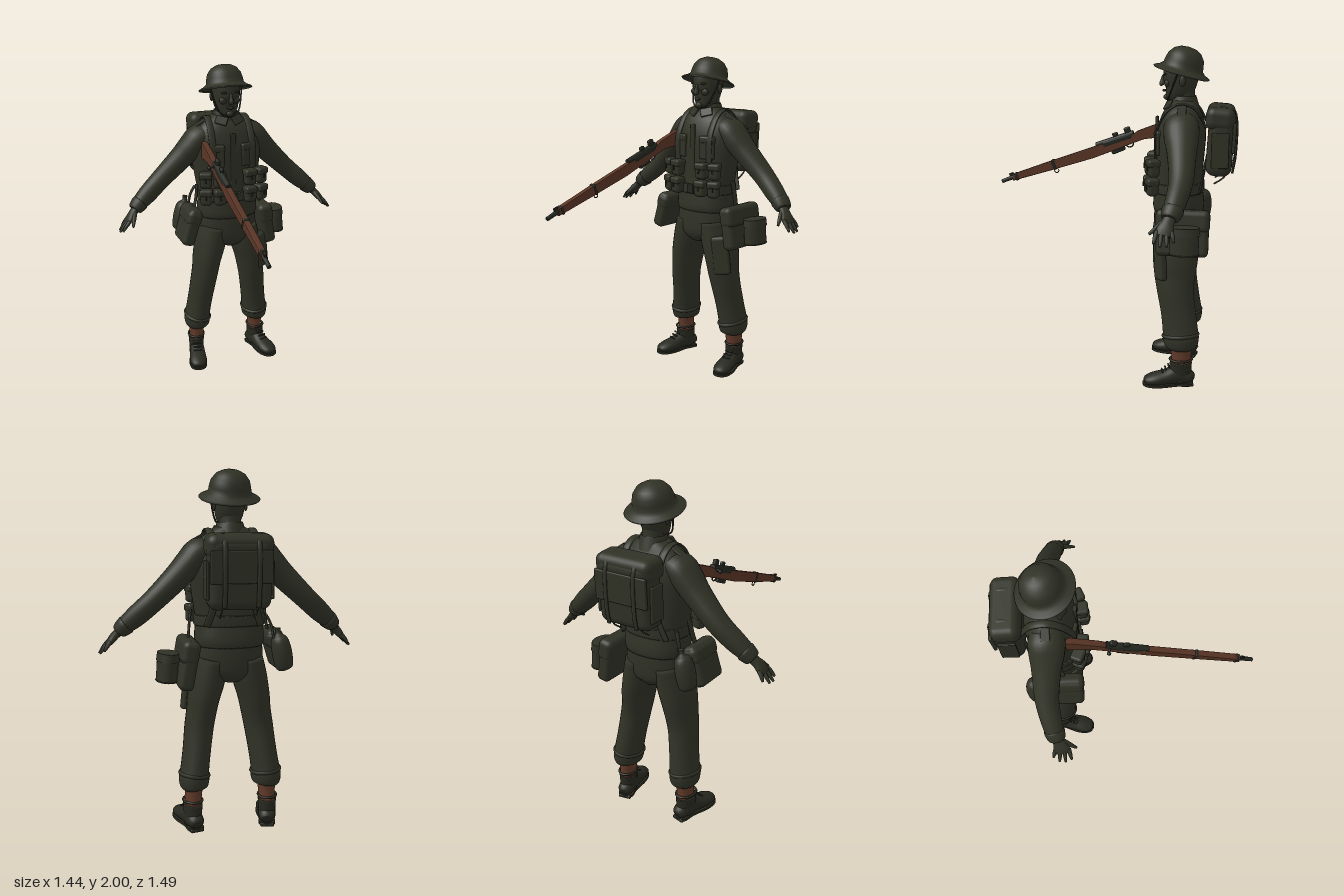
import * as THREE from 'three';
import { RoundedBoxGeometry } from 'three/addons/geometries/RoundedBoxGeometry.js';

const material = (name, color) => {
  const m = new THREE.MeshStandardMaterial({ color, side: THREE.DoubleSide });
  m.name = name;
  return m;
};
const V = (x, y, z) => new THREE.Vector3(x, y, z);
const X = V(1, 0, 0), Y = V(0, 1, 0), Z = V(0, 0, 1);

// Smooth skin over cross-sections [x, y, z, halfWidth, halfDepth]; e < 1 makes them boxier
function loft(sections, { ref = Z, seg = 24, steps = 4, e = 1 } = {}) {
  const rows = [], n = sections.length - 1;
  for (let i = 0; i < n; i++) for (let k = 0; k < steps + (i === n - 1 ? 1 : 0); k++) {
    const t = k / steps;
    const [a, b, c, d] = [i - 1, i, i + 1, i + 2].map((j) => sections[Math.min(n, Math.max(0, j))]);
    rows.push(b.map((_, q) => 0.5 * (2 * b[q] + (c[q] - a[q]) * t + (2 * a[q] - 5 * b[q] + 4 * c[q] - d[q]) * t * t
      + (3 * b[q] - a[q] - 3 * c[q] + d[q]) * t * t * t)));
  }
  const pos = [], index = [], at = (r) => V(r[0], r[1], r[2]), last = rows.length - 1;
  const pw = (c) => Math.sign(c) * Math.abs(c) ** e;
  rows.forEach((r, i) => {
    const t = at(rows[Math.min(last, i + 1)]).sub(at(rows[Math.max(0, i - 1)])).normalize();
    const u = t.clone().cross(ref).normalize(), v = u.clone().cross(t);
    for (let j = 0; j < seg; j++) {
      const w = (j / seg) * Math.PI * 2;
      const p = at(r).addScaledVector(u, r[3] * pw(Math.cos(w))).addScaledVector(v, r[4] * pw(Math.sin(w)));
      pos.push(p.x, p.y, p.z);
      const a = i * seg + j, b = i * seg + (j + 1) % seg;
      if (i < last) index.push(a, a + seg, b, b, a + seg, b + seg);
    }
  });
  const c0 = rows.length * seg;
  pos.push(...rows[0].slice(0, 3), ...rows[last].slice(0, 3));
  for (let j = 0; j < seg; j++) {
    const k = (j + 1) % seg;
    index.push(c0, j, k, c0 + 1, last * seg + k, last * seg + j);
  }
  const g = new THREE.BufferGeometry();
  g.setAttribute('position', new THREE.Float32BufferAttribute(pos, 3));
  g.setIndex(index);
  g.computeVertexNormals();
  return g;
}

export function createModel() {
  const root = new THREE.Group();
  const cloth = material('dark olive cloth', 0x303226);
  const leather = material('boot leather', 0x282920);
  const wood = material('rifle wood', 0x5a3525);
  const metal = material('gun metal', 0x23261f);
  const tan = material('brown gaiter', 0x623b2a);

  const add = (name, geo, mat = cloth, p = [0, 0, 0], r = [0, 0, 0], parent = root) => {
    const m = new THREE.Mesh(geo, mat);
    m.name = name;
    m.position.set(...p);
    m.rotation.set(...r);
    parent.add(m);
    return m;
  };
  const box = (name, size, p, r, mat = cloth, parent = root) =>
    add(name, new RoundedBoxGeometry(...size, 3, Math.min(...size) * 0.35), mat, p, r, parent);
  const rod = (name, a, b, r0, r1, mat, seg = 14) => {
    const A = V(...a), d = V(...b).sub(A);
    const m = add(name, new THREE.CylinderGeometry(r1, r0, d.length(), seg), mat);
    m.position.copy(A).addScaledVector(d, 0.5);
    m.quaternion.setFromUnitVectors(Y, d.clone().normalize());
  };
  const strap = (name, pts, w = 0.02, ref = X, th = 0.007) =>
    add(name, loft(pts.map((p) => [...p, th, w]), { ref, seg: 10 }));
  const tube = (name, pts, r, mat = cloth) =>
    add(name, new THREE.TubeGeometry(new THREE.CatmullRomCurve3(pts.map((p) => V(...p))), 24, r, 6), mat);

  // Jacket, trousers seat and belt
  add('jacket', loft([[0, 1.05, -0.413, 0.187, 0.147], [0, 1.09, -0.413, 0.195, 0.152], [0, 1.2, -0.41, 0.19, 0.14],
    [0, 1.35, -0.415, 0.212, 0.14], [0, 1.5, -0.42, 0.225, 0.143], [0, 1.6, -0.425, 0.2, 0.122],
    [0, 1.66, -0.43, 0.145, 0.088], [0, 1.7, -0.432, 0.072, 0.066]], { seg: 40, e: 0.88 }));
  add('trouserSeat', loft([[0, 0.85, -0.41, 0.06, 0.1], [0, 0.9, -0.41, 0.17, 0.137], [0, 0.98, -0.412, 0.19, 0.145],
    [0, 1.08, -0.413, 0.182, 0.142]], { seg: 36, e: 0.9 }));
  add('belt', loft([[0, 1.165, -0.41, 0.196, 0.149], [0, 1.17, -0.41, 0.2, 0.152], [0, 1.22, -0.41, 0.2, 0.152],
    [0, 1.225, -0.41, 0.196, 0.149]], { seg: 40, e: 0.88, steps: 1 }));
  box('beltBuckle', [0.05, 0.055, 0.012], [0, 1.195, -0.257], [0, 0, 0], metal);
  box('buttonPlacket', [0.034, 0.44, 0.02], [0, 1.38, -0.28], [0.02, 0, 0]);
  add('collar', new THREE.CylinderGeometry(0.07, 0.095, 0.075, 28, 1, true), cloth, [0, 1.685, -0.43]);

  // Neck and head
  add('neck', loft([[0, 1.62, -0.445, 0.066, 0.066], [0, 1.72, -0.43, 0.06, 0.064], [0, 1.8, -0.425, 0.06, 0.066]]));
  add('head', loft([[0, 1.695, -0.352, 0.026, 0.026], [0, 1.708, -0.36, 0.045, 0.045], [0, 1.735, -0.38, 0.066, 0.068],
    [0, 1.78, -0.402, 0.08, 0.093], [0, 1.84, -0.41, 0.087, 0.103], [0, 1.9, -0.418, 0.088, 0.1],
    [0, 1.95, -0.425, 0.06, 0.07]], { seg: 32 }));
  add('nose', loft([[0, 1.778, -0.305, 0.012, 0.008], [0, 1.787, -0.302, 0.017, 0.017], [0, 1.81, -0.306, 0.011, 0.014],
    [0, 1.84, -0.31, 0.008, 0.008]], { seg: 12 }));
  const bump = (name, p, s) => add(name, new THREE.SphereGeometry(1, 14, 10), cloth, p).scale.set(...s);
  bump('lips', [0, 1.75, -0.316], [0.024, 0.008, 0.012]);
  bump('chin', [0, 1.713, -0.328], [0.024, 0.018, 0.017]);

  // Broad-brimmed steel helmet
  const profile = [[0.163, -0.006], [0.168, 0], [0.163, 0.005], [0.135, 0.018], [0.117, 0.034], [0.114, 0.06],
    [0.104, 0.095], [0.08, 0.126], [0.045, 0.144], [0, 0.15]].map((p) => new THREE.Vector2(...p));
  add('helmet', new THREE.LatheGeometry(profile, 48), cloth, [0, 1.853, -0.412], [-0.27, 0, 0]);
  tube('chinStrap', [[-0.1, 1.86, -0.4], [-0.084, 1.78, -0.37], [-0.055, 1.715, -0.345], [0, 1.692, -0.338],
    [0.055, 1.715, -0.345], [0.084, 1.78, -0.37], [0.1, 1.86, -0.4]], 0.005, leather);

  for (const s of [1, -1]) {
    const m = (p) => [s * p[0], ...p.slice(1)];
    const side = s > 0 ? 'left' : 'right';
    bump(side + 'Ear', [s * 0.088, 1.81, -0.425], [0.01, 0.03, 0.018]);
    bump(side + 'Brow', [s * 0.035, 1.845, -0.322], [0.026, 0.007, 0.012]);
    bump(side + 'Cheek', [s * 0.042, 1.795, -0.335], [0.025, 0.022, 0.018]);
    box(side + 'CollarFlap', [0.075, 0.055, 0.014], [s * 0.052, 1.672, -0.342], [-0.55, s * 0.3, s * 0.45]);
    box(side + 'ShoulderTab', [0.1, 0.012, 0.05], [s * 0.155, 1.652, -0.43], [0, 0, -s * 0.5]);
    box(side + 'ChestPocket', [0.1, 0.13, 0.03], [s * 0.105, 1.455, -0.292], [0, s * 0.25, 0]);
    box(side + 'ChestPocketFlap', [0.106, 0.045, 0.04], [s * 0.105, 1.51, -0.293], [0, s * 0.25, 0]);

    // Sleeve, cuff and hand
    add(side + 'Sleeve', loft([[0.1, 1.575, -0.43, 0.06, 0.085], [0.17, 1.565, -0.43, 0.078, 0.1],
      [0.225, 1.505, -0.435, 0.078, 0.098], [0.29, 1.435, -0.443, 0.072, 0.083], [0.42, 1.31, -0.452, 0.062, 0.068],
      [0.52, 1.22, -0.435, 0.058, 0.06], [0.585, 1.165, -0.418, 0.045, 0.052], [0.61, 1.14, -0.41, 0.036, 0.045]].map(m)));
    add(side + 'Cuff', loft([[0.565, 1.18, -0.424, 0.048, 0.055], [0.572, 1.174, -0.422, 0.053, 0.06],
      [0.603, 1.146, -0.412, 0.044, 0.052], [0.609, 1.14, -0.41, 0.036, 0.045]].map(m)));
    add(side + 'Palm', loft([[0.59, 1.155, -0.415, 0.026, 0.034], [0.625, 1.12, -0.4, 0.023, 0.036],
      [0.65, 1.09, -0.39, 0.021, 0.047], [0.672, 1.062, -0.385, 0.013, 0.044]].map(m)));
    [[-0.424, -0.44, 0.69, 1.035], [-0.398, -0.405, 0.712, 1.018], [-0.373, -0.37, 0.716, 1.016],
      [-0.348, -0.335, 0.704, 1.028]].forEach(([z0, z1, x, y], i) =>
      add(`${side}Finger${i + 1}`, loft([[0.655, 1.085, z0, 0.012, 0.012], [(0.66 + x) / 2, (1.085 + y) / 2, (z0 + z1) / 2, 0.011, 0.012],
        [x, y, z1, 0.006, 0.007]].map(m), { seg: 10 })));
    add(side + 'Thumb', loft([[0.615, 1.125, -0.385, 0.016, 0.02], [0.63, 1.095, -0.345, 0.013, 0.015],
      [0.645, 1.062, -0.305, 0.007, 0.008]].map(m), { seg: 10 }));

    // Trouser leg, gathered over the gaiter
    add(side + 'TrouserLeg', loft([[0.207, 0.243, -0.458, 0.058, 0.072], [0.208, 0.255, -0.458, 0.078, 0.096],
      [0.208, 0.3, -0.458, 0.086, 0.107], [0.203, 0.35, -0.453, 0.08, 0.105], [0.188, 0.46, -0.437, 0.079, 0.103],
      [0.172, 0.58, -0.417, 0.082, 0.108], [0.157, 0.67, -0.41, 0.084, 0.12], [0.143, 0.76, -0.41, 0.09, 0.132],
      [0.118, 0.87, -0.41, 0.097, 0.138], [0.1, 0.98, -0.412, 0.088, 0.14]].map(m), { seg: 28 }));
    add(side + 'TrouserFold', new THREE.TorusGeometry(0.079, 0.012, 8, 28), cloth,
      [s * 0.206, 0.322, -0.455], [Math.PI / 2 + 0.1, s * 0.12, 0]).scale.y = 1.25;
    add(side + 'Gaiter', loft([[0.215, 0.12, -0.465, 0.046, 0.06], [0.213, 0.2, -0.463, 0.047, 0.06],
      [0.21, 0.28, -0.46, 0.056, 0.068]].map(m)), tan);

    // Boot with sole and laces
    const boot = new THREE.Group();
    boot.name = side + 'Boot';
    boot.position.set(s * 0.217, 0, -0.462);
    boot.rotation.y = s * 0.22;
    root.add(boot);
    add('ankle', loft([[0, 0.03, 0, 0.045, 0.064], [0, 0.1, 0, 0.05, 0.066], [0, 0.15, 0, 0.053, 0.067]]), leather, undefined, undefined, boot);
    add('foot', loft([[0, 0.045, -0.075, 0.03, 0.025], [0, 0.055, -0.05, 0.047, 0.043], [0, 0.068, 0.02, 0.049, 0.058],
      [0, 0.055, 0.09, 0.054, 0.045], [0, 0.045, 0.16, 0.057, 0.036], [0, 0.038, 0.205, 0.042, 0.024],
      [0, 0.033, 0.22, 0.02, 0.01]], { ref: Y }), leather, undefined, undefined, boot);
    const outline = new THREE.Shape(new THREE.SplineCurve([[0, -0.078], [0.045, -0.055], [0.044, 0.02], [0.06, 0.13], [0.045, 0.205],
      [0, 0.23], [-0.045, 0.205], [-0.06, 0.13], [-0.044, 0.02], [-0.045, -0.055], [0, -0.078]]
      .map((p) => new THREE.Vector2(...p))).getPoints(40));
    add('sole', new THREE.ExtrudeGeometry(outline, { depth: 0.016, bevelEnabled: false }).rotateX(Math.PI / 2), leather, [0, 0.024, 0], undefined, boot);
    box('heel', [0.08, 0.022, 0.075], [0, 0.011, -0.038], [0, 0, 0], leather, boot);
    for (let i = 0; i < 4; i++) box('lace', [0.055, 0.008, 0.01], [0, 0.142 - i * 0.015, 0.055 + i * 0.019], [0.5, 0, 0], leather, boot);
    add('ankleStrap', new THREE.TorusGeometry(0.052, 0.007, 8, 24), leather, [0, 0.17, 0], [Math.PI / 2, 0, 0], boot).scale.y = 1.25;

    // Ammunition pouches in two rows with flaps
    for (const [y, dz] of [[1.322, 0], [1.212, 0.004]]) for (const [x, z, yaw] of [[0.1, -0.25, 0.1], [0.182, -0.275, 0.4]]) {
      const p = new THREE.Group();
      p.name = side + 'AmmoPouch';
      p.position.set(s * x, y, z + dz);
      p.rotation.y = s * yaw;
      root.add(p);
      box('pouchBody', [0.074, 0.096, 0.066], [0, -0.003, 0], [0, 0, 0], cloth, p);
      box('pouchFlap', [0.08, 0.044, 0.074], [0, 0.03, 0.001], [0, 0, 0], cloth, p);
      box('pouchStud', [0.012, 0.03, 0.008], [0, 0.002, 0.036], [0, 0, 0], metal, p);
    }
    strap(side + 'ShoulderStrap', [[0.13, 1.34, -0.285], [0.13, 1.5, -0.28], [0.128, 1.6, -0.315], [0.125, 1.66, -0.365],
      [0.122, 1.685, -0.43], [0.12, 1.65, -0.51], [0.115, 1.55, -0.565]].map(m), 0.022);
    strap(side + 'BackStrap', [[0.1, 1.36, -0.57], [0.12, 1.26, -0.556], [0.15, 1.17, -0.54]].map(m));

    // Pack fastenings
    strap(side + 'PackStrap', [[0.09, 1.665, -0.62], [0.09, 1.655, -0.7], [0.09, 1.58, -0.738], [0.09, 1.4, -0.738],
      [0.09, 1.29, -0.722]].map(m), 0.013);
    tube(side + 'PackStrapEnd', [[0.09, 1.3, -0.7], [0.095, 1.26, -0.67], [0.092, 1.225, -0.62]].map(m), 0.005);
    box(side + 'PackSidePatch', [0.015, 0.2, 0.1], [s * 0.172, 1.43, -0.65], [0, 0, 0]);
  }

  // Backpack
  box('backpack', [0.34, 0.38, 0.15], [0, 1.465, -0.65], [-0.05, 0, 0]);
  box('backpackLid', [0.355, 0.13, 0.165], [0, 1.605, -0.645], [-0.08, 0, 0]);
  box('backpackFlap', [0.33, 0.17, 0.02], [0, 1.5, -0.726], [-0.04, 0, 0]);

  // Left hip: haversack and mess tin
  box('haversack', [0.085, 0.27, 0.3], [0.25, 0.965, -0.455], [0, 0, 0.17]);
  box('haversackFlap', [0.098, 0.13, 0.31], [0.242, 1.035, -0.455], [0, 0, 0.17]);
  strap('haversackStrap', [[0.215, 1.25, -0.41], [0.225, 1.17, -0.42], [0.235, 1.06, -0.43]], 0.02, Z);
  const tin = new THREE.Group();
  tin.name = 'messTin';
  tin.position.set(0.355, 0.945, -0.472);
  tin.rotation.z = 0.07;
  tin.scale.z = 1.42;
  root.add(tin);
  add('tinBody', new THREE.CylinderGeometry(0.059, 0.058, 0.155, 28), cloth, undefined, undefined, tin);
  add('tinLid', new THREE.CylinderGeometry(0.06, 0.063, 0.045, 28), cloth, [0, 0.058, 0], undefined, tin);
  add('tinRim', new THREE.TorusGeometry(0.058, 0.004, 6, 28), cloth, [0, -0.074, 0], [Math.PI / 2, 0, 0], tin);

  // Thigh pocket
  box('thighPocket', [0.105, 0.24, 0.045], [0.205, 0.785, -0.325], [0, 0.5, 0.12]);
  box('thighPocketFlap', [0.112, 0.07, 0.053], [0.195, 0.875, -0.325], [0, 0.5, 0.12]);

  // Right hip: side bag and water bottle
  box('sideBag', [0.085, 0.24, 0.22], [-0.275, 1.015, -0.37], [0, 0, -0.3]);
  box('sideBagFlap', [0.098, 0.1, 0.23], [-0.257, 1.075, -0.37], [0, 0, -0.3]);
  strap('sideBagStrap', [[-0.205, 1.26, -0.4], [-0.215, 1.18, -0.39], [-0.235, 1.1, -0.38]], 0.02, Z);
  add('waterBottle', loft([[-0.29, 0.92, -0.54, 0.03, 0.03], [-0.285, 0.94, -0.54, 0.05, 0.052], [-0.27, 1.02, -0.54, 0.055, 0.062],
    [-0.255, 1.09, -0.54, 0.045, 0.05], [-0.248, 1.12, -0.54, 0.016, 0.016], [-0.243, 1.15, -0.54, 0.016, 0.016]]));
  strap('waterBottleStrap', [[-0.19, 1.22, -0.5], [-0.215, 1.16, -0.52], [-0.225, 1.08, -0.54]], 0.014, Z);

  // Rifle, butt in the shoulder and muzzle low and forward
  const rx = -0.17;
  const stock = new THREE.Shape([[-0.37, 1.56], [-0.3, 1.542], [-0.2, 1.506], [-0.145, 1.484], [-0.11, 1.46], [0.14, 1.375],
    [0.4, 1.283], [0.656, 1.188], [0.656, 1.152], [0.4, 1.23], [0.137, 1.313], [-0.05, 1.388], [-0.116, 1.415],
    [-0.18, 1.44], [-0.25, 1.45], [-0.37, 1.45]].map((p) => new THREE.Vector2(...p)));
  const stockGeo = new THREE.ExtrudeGeometry(stock, { depth: 0.018, bevelThickness: 0.009, bevelSize: 0.004, bevelSegments: 3 });
  add('rifleStock', stockGeo.rotateY(-Math.PI / 2), wood, [rx + 0.009, 0, 0]);
  rod('rifleBarrel', [rx, 1.178, 0.64], [rx, 1.14, 0.735], 0.014, 0.012, metal);
  rod('rifleReceiver', [rx, 1.47, -0.115], [rx, 1.39, 0.12], 0.02, 0.017, metal);
  box('rifleActionPlate', [0.04, 0.04, 0.2], [rx, 1.425, -0.015], [0.34, 0, 0], metal);
  box('rifleRearSight', [0.026, 0.04, 0.04], [rx, 1.488, -0.075], [0.34, 0, 0], metal);
  box('rifleSightLeaf', [0.02, 0.028, 0.035], [rx, 1.458, 0.0], [0.34, 0, 0], metal);
  box('rifleFrontSight', [0.012, 0.03, 0.03], [rx, 1.183, 0.67], [0.34, 0, 0], metal);
  box('rifleMagazine', [0.028, 0.06, 0.09], [rx, 1.378, -0.015], [0.4, 0, 0], metal);
  rod('boltHandle', [rx, 1.462, -0.09], [-0.213, 1.45, -0.098], 0.006, 0.006, metal);
  add('boltKnob', new THREE.SphereGeometry(0.012, 12, 8), metal, [-0.215, 1.449, -0.099]);
  add('triggerGuard', new THREE.TorusGeometry(0.024, 0.004, 6, 20), metal, [rx, 1.408, -0.09], [0, Math.PI / 2, 0]);
  for (const [z, y, h] of [[0.39, 1.26, 0.066], [0.635, 1.176, 0.05]])
    box('rifleBand', [0.042, h, 0.02], [rx, y, z], [0.34, 0, 0], metal);
  add('slingSwivel', new THREE.TorusGeometry(0.014, 0.003, 6, 16), metal, [rx, 1.222, 0.375], [0, Math.PI / 2, 0]);

  return root;
}
